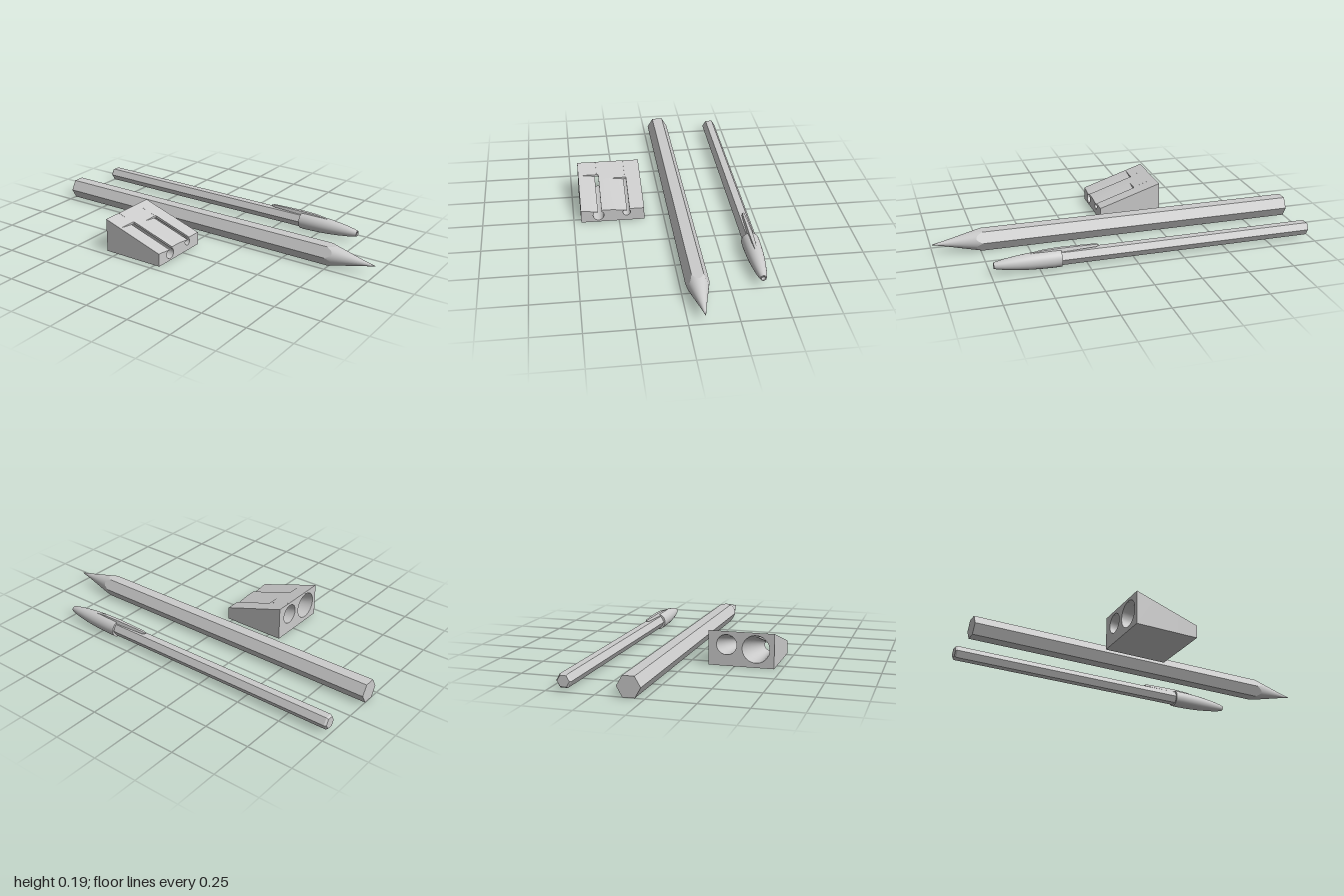
import * as THREE from 'three';
import { toCreasedNormals } from 'three/addons/utils/BufferGeometryUtils.js';

const material = new THREE.MeshStandardMaterial({ color: 0xcccccc });

function addMesh(group, name, geometry) {
  const mesh = new THREE.Mesh(geometry, material);
  mesh.name = name;
  group.add(mesh);
  return mesh;
}

// Skins a row of cross-sections { x, pts: [[y, z], ...] } running towards +x.
// Points run from +y towards +z; the ends can be capped.
function loft(sections, capStart, capEnd, crease = 0.3) {
  const pos = [];
  const put = (s, j) => {
    const p = s.pts[j % s.pts.length];
    pos.push(s.x * 100, p[0] * 100, p[1] * 100);
  };
  for (let i = 0; i + 1 < sections.length; i++) {
    const a = sections[i], b = sections[i + 1];
    for (let j = 0; j < a.pts.length; j++) {
      put(a, j); put(a, j + 1); put(b, j);
      put(a, j + 1); put(b, j + 1); put(b, j);
    }
  }
  const cap = (s, towardsPlusX) => {
    const contour = s.pts.map(p => new THREE.Vector2(p[0], p[1]));
    for (const f of THREE.ShapeUtils.triangulateShape(contour, [])) {
      const area = THREE.ShapeUtils.area(f.map(k => contour[k]));
      const order = (area > 0) === towardsPlusX ? f : [f[0], f[2], f[1]];
      order.forEach(k => put(s, k));
    }
  };
  if (capStart) cap(sections[0], false);
  if (capEnd) cap(sections[sections.length - 1], true);
  const g = new THREE.BufferGeometry();
  g.setAttribute('position', new THREE.Float32BufferAttribute(pos, 3));
  // creased at a larger scale so that close vertices stay distinct
  return toCreasedNormals(g, crease).scale(0.01, 0.01, 0.01);
}

// Hexagon with flat top and bottom
function hexRing(x, r, y = 0) {
  const pts = [];
  for (let k = 0; k < 6; k++) {
    const a = Math.PI / 6 + k * Math.PI / 3;
    pts.push([y + r * Math.cos(a), r * Math.sin(a)]);
  }
  return { x, pts };
}

// Pencil: hexagonal shaft meeting a sharpened cone in scallops
function makePencil() {
  const g = new THREE.Group();
  g.name = 'pencil';
  const R = 0.061, apothem = R * Math.cos(Math.PI / 6), slope = 0.235, n = 48;
  const back = [], edge = [], neck = [], tip = [];
  for (let i = 0; i < n; i++) {
    const a = i * 2 * Math.PI / n;
    const fromFlat = a - Math.round(a / (Math.PI / 3)) * Math.PI / 3;
    const r = apothem / Math.cos(fromFlat);
    const ring = q => [q * Math.cos(a), q * Math.sin(a)];
    back.push(ring(r));
    edge.push([...ring(r), 0.998 - r / slope]);
    neck.push(ring(0.014));
    tip.push(ring(0.0015));
  }
  // Sections share one x each, so the scalloped rim is moved into place after
  const scallop = geo => {
    const p = geo.attributes.position;
    for (let i = 0; i < p.count; i++) {
      if (Math.abs(p.getX(i) - 0.7) < 1e-4) {
        p.setX(i, 0.998 - Math.hypot(p.getY(i), p.getZ(i)) / slope);
      }
    }
    return geo;
  };
  const rim = { x: 0.7, pts: edge };
  const neckRing = { x: 0.998 - 0.014 / slope, pts: neck };
  addMesh(g, 'pencilShaft', scallop(loft([{ x: -1, pts: back }, rim], true, false)));
  const wood = scallop(loft([rim, neckRing], false, false));
  addMesh(g, 'sharpenedWood', toCreasedNormals(wood.scale(100, 100, 100), 0.4).scale(0.01, 0.01, 0.01));
  addMesh(g, 'pencilLead', loft([neckRing, { x: 1, pts: tip }], false, true));
  g.position.set(0, apothem, -0.08);
  return g;
}

// Pen: hexagonal barrel with rounded cap and clip
function makePen() {
  const g = new THREE.Group();
  g.name = 'pen';
  addMesh(g, 'penBarrel', loft([
    hexRing(-0.985, 0.032), hexRing(-0.975, 0.0395), hexRing(0.42, 0.0395),
  ], true, true));

  const profile = [
    [0.036, 0.39], [0.047, 0.39], [0.0475, 0.43], [0.0455, 0.50], [0.042, 0.56],
    [0.036, 0.62], [0.028, 0.68], [0.020, 0.72], [0.016, 0.735], [0.011, 0.735],
    [0.009, 0.715], [0, 0.715],
  ].map(p => new THREE.Vector2(p[0], p[1]));
  const cap = new THREE.LatheGeometry(profile, 40).rotateZ(-Math.PI / 2);
  addMesh(g, 'penCap', toCreasedNormals(cap.toNonIndexed().scale(100, 100, 100), 0.5).scale(0.01, 0.01, 0.01));

  // Clip: narrow tongue, rounded at its free end, fading into the cap
  const clipRing = (x, low, high, w) => ({
    x, pts: [[high, -w * 0.6], [high, w * 0.6], [low, w], [low, -w]],
  });
  addMesh(g, 'capClip', loft([
    clipRing(0.19, 0.043, 0.048, 0.004), clipRing(0.205, 0.04, 0.052, 0.010),
    clipRing(0.30, 0.038, 0.054, 0.013), clipRing(0.40, 0.036, 0.055, 0.016),
    clipRing(0.48, 0.034, 0.052, 0.014), clipRing(0.60, 0.028, 0.036, 0.004),
  ], true, true));
  g.position.set(0, 0.049, -0.413);
  return g;
}

// Sharpener: wedge with two tapered holes, each opened by a slot on top
function makeSharpener() {
  const g = new THREE.Group();
  g.name = 'sharpener';
  const x0 = -0.32, x1 = 0.03, zMin = 0.11, zMax = 0.46;
  const holes = [
    { z: 0.207, y: [0.113, 0.051], r: [0.054, 0.021], slot: [0.191, 0.205], start: -0.195, seat: 0.285 },
    { z: 0.363, y: [0.098, 0.040], r: [0.073, 0.030], slot: [0.346, 0.366], start: -0.225, seat: 0.445 },
  ];
  const section = x => {
    const t = (x - x0) / (x1 - x0);
    const top = THREE.MathUtils.lerp(0.185, 0.071, t);
    const pts = [[0, zMax], [0, zMin], [top, zMin]];
    for (const h of holes) {
      const open = x > h.start + 0.0005;
      const mid = (h.slot[0] + h.slot[1]) / 2;
      const [za, zb] = open ? h.slot : [mid - 0.0002, mid + 0.0002];
      const dip = open ? 0.01 : 0; // sunken blade seat beside the slot
      const r = THREE.MathUtils.lerp(h.r[0], h.r[1], t);
      const y = THREE.MathUtils.lerp(h.y[0], h.y[1], t);
      const a = Math.asin((za - h.z) / r), b = Math.asin((zb - h.z) / r) - 2 * Math.PI;
      pts.push([top, za]);
      for (let i = 0; i <= 28; i++) {
        const q = a + (b - a) * i / 28;
        pts.push([Math.min(y + r * Math.cos(q), top - dip - 0.002), h.z + r * Math.sin(q)]);
      }
      pts.push([top - dip, zb], [top, h.seat]);
    }
    pts.push([top, zMax]);
    return { x, pts };
  };
  const stations = [x0, -0.225, -0.224, -0.195, -0.194, -0.08, x1];
  addMesh(g, 'sharpenerBody', loft(stations.map(section), true, true, 0.4));
  return g;
}

export function createModel() {
  const model = new THREE.Group();
  model.name = 'writingSet';
  model.add(makePencil(), makePen(), makeSharpener());
  return model;
}
